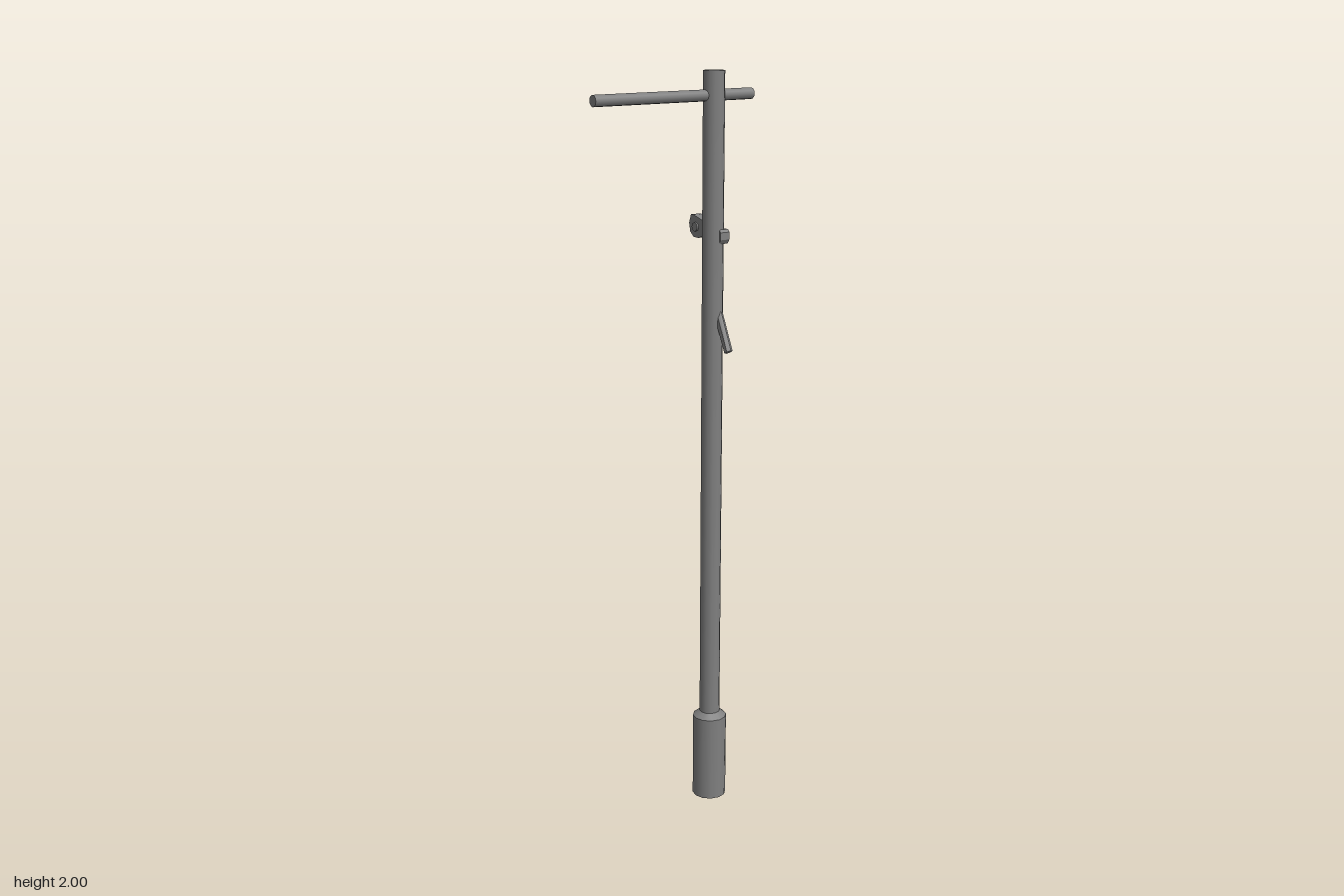
import * as THREE from 'three';

const PX = 0.12, PZ = 0.01; // pole axis

export function createModel() {
  const model = new THREE.Group();
  const color = 0x808080;
  const mat = new THREE.MeshStandardMaterial({ color });
  const flat = new THREE.MeshStandardMaterial({ color, flatShading: true });
  const open = new THREE.MeshStandardMaterial({ color, side: THREE.DoubleSide });

  function add(name, geometry, material = mat) {
    const mesh = new THREE.Mesh(geometry, material);
    mesh.name = name;
    model.add(mesh);
    return mesh;
  }
  // upright cylinder on the pole axis between two heights
  function post(name, rTop, rBottom, y0, y1, material, openEnded) {
    const g = new THREE.CylinderGeometry(rTop, rBottom, y1 - y0, 12, 1, openEnded);
    add(name, g, material).position.set(PX, (y0 + y1) / 2, PZ);
  }
  // cylinder lying along x
  function rod(name, r, x0, x1, y, z, sides) {
    const g = new THREE.CylinderGeometry(r, r, x1 - x0, sides);
    g.rotateZ(Math.PI / 2);
    add(name, g).position.set((x0 + x1) / 2, y, z);
  }

  // Pole in a thicker socket foot, open below, with a bevelled shoulder
  post('pole', 0.028, 0.028, 0.24, 2, mat, false);
  post('footSleeve', 0.0465, 0.0465, 0, 0.24, open, true);
  post('footBevel', 0.028, 0.0465, 0.24, 0.254, open, true);

  // Crossbar near the top
  rod('crossbar', 0.0145, -0.24, 0.24, 1.939, 0.008, 12);

  // Lever head: side profile (z, y) extruded across x
  const profile = [
    [0.043, 1.578], [0.036, 1.567], [0.022, 1.564], [-0.005, 1.566], [-0.036, 1.578],
    [-0.055, 1.572], [-0.075, 1.573], [-0.089, 1.585], [-0.094, 1.608], [-0.086, 1.63],
    [-0.074, 1.63], [-0.005, 1.612], [0.004, 1.603], [0.037, 1.604], [0.043, 1.597],
  ].map(([z, y]) => new THREE.Vector2(z, y));
  const head = new THREE.ExtrudeGeometry(new THREE.Shape(profile), { depth: 0.028, bevelEnabled: false });
  head.rotateY(-Math.PI / 2);
  head.translate(0.148, 0, 0);
  add('leverHead', head, flat);
  rod('leverPin', 0.012, 0.115, 0.152, 1.6, -0.064, 8);
  rod('frontPin', 0.012, 0.122, 0.151, 1.586, 0.02, 8);

  // Lever handle: six-sided sections swept down and forward
  // each section: centre x, y, z, half width, half depth, slope of the section plane
  const sections = [
    [0.135, 1.585, -0.02, 0.011, 0.014, 0],
    [0.135, 1.465, -0.021, 0.011, 0.013, 0.3],
    [0.133, 1.43, -0.004, 0.011, 0.013, 0.6],
    [0.119, 1.293, 0.082, 0.011, 0.010, 0.6],
  ];
  const N = 6, pos = [], idx = [];
  for (const [x, y, z, w, d, slope] of sections) {
    for (let i = 0; i < N; i++) {
      const a = (i / N) * Math.PI * 2;
      const dz = Math.cos(a) * d;
      pos.push(x + Math.sin(a) * w, y + dz * slope, z + dz);
    }
  }
  for (let s = 0; s < sections.length - 1; s++) {
    for (let i = 0; i < N; i++) {
      const a = s * N + i, b = s * N + ((i + 1) % N);
      idx.push(a, a + N, b, b, a + N, b + N);
    }
  }
  const end = (sections.length - 1) * N;
  for (let i = 1; i < N - 1; i++) {
    idx.push(0, i, i + 1, end, end + i + 1, end + i);
  }
  const handle = new THREE.BufferGeometry();
  handle.setAttribute('position', new THREE.Float32BufferAttribute(pos, 3));
  handle.setIndex(idx);
  handle.computeVertexNormals();
  add('leverHandle', handle, flat);

  return model;
}
